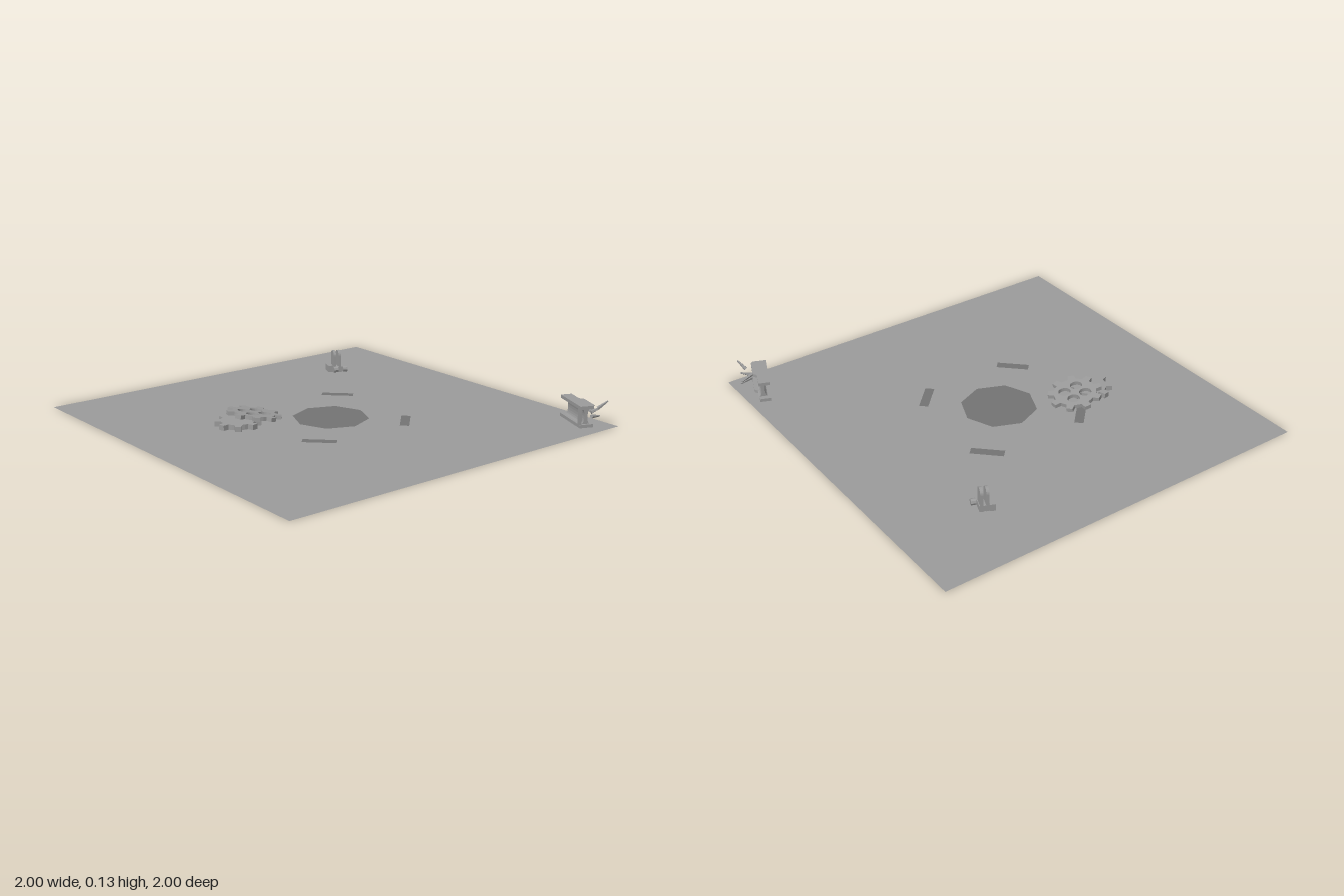
import * as THREE from 'three';

const grey = new THREE.MeshStandardMaterial({ color: 0x9b9b9b, flatShading: true });
const floorMat = new THREE.MeshStandardMaterial({ color: 0x9b9b9b, side: THREE.DoubleSide });
const darkMat = new THREE.MeshStandardMaterial({ color: 0x747474, side: THREE.DoubleSide });

function add(parent, name, geometry, pos = [0, 0, 0], rot = [0, 0, 0], material = grey) {
  const mesh = new THREE.Mesh(geometry, material);
  mesh.name = name;
  mesh.position.set(...pos);
  mesh.rotation.set(...rot);
  parent.add(mesh);
  return mesh;
}

function addGroup(parent, name, pos, yaw) {
  const g = new THREE.Group();
  g.name = name;
  g.position.set(...pos);
  g.rotation.y = yaw;
  parent.add(g);
  return g;
}

const box = (x, y, z) => new THREE.BoxGeometry(x, y, z);
const extrude = (shape, depth, curveSegments = 8) =>
  new THREE.ExtrudeGeometry(shape, { depth, bevelEnabled: false, curveSegments });

// Outline points of a rotated rectangle; plan shapes use y = -z
function rectPoints(x, z, w, h, angle = 0) {
  return [[-1, -1], [1, -1], [1, 1], [-1, 1]].map(([i, j]) =>
    new THREE.Vector2(i * w / 2, j * h / 2).rotateAround(new THREE.Vector2(), angle)
      .add(new THREE.Vector2(x, -z)));
}

// Flat gear lying in the xz plane, centred on its own thickness
function gearGeometry(teeth, outer, root, thickness, holes = []) {
  const pts = [];
  const step = (Math.PI * 2) / teeth;
  for (let i = 0; i < teeth; i++) {
    for (const [f, r] of [[-0.5, root], [-0.27, root], [-0.17, outer], [0.17, outer], [0.27, root]]) {
      const a = (i + f) * step;
      pts.push(new THREE.Vector2(Math.cos(a) * r, Math.sin(a) * r));
    }
  }
  const shape = new THREE.Shape(pts);
  for (const [x, y, r] of holes) {
    shape.holes.push(new THREE.Path().absarc(x, y, r, 0, Math.PI * 2, true));
  }
  const g = extrude(shape, thickness, 12);
  g.translate(0, 0, -thickness / 2);
  g.rotateX(-Math.PI / 2);
  return g;
}

export function createModel() {
  const model = new THREE.Group();
  model.name = 'floorWithScrap';

  // Floor sheet with dark markings let into it, flush on both faces
  const octagon = [];
  for (let i = 0; i < 8; i++) {
    const a = (i * Math.PI) / 4;
    octagon.push(new THREE.Vector2(Math.cos(a) * 0.192, Math.sin(a) * 0.192 - 0.01));
  }
  const markings = [['centreMarking', octagon]];
  for (const [x, z, angle] of [[0.28, -0.285, -0.77], [0.25, 0.285, 0.8],
    [-0.28, 0.275, -0.77], [-0.285, -0.285, 0.8]]) {
    markings.push(['barMarking', rectPoints(x, z, 0.165, 0.046, angle)]);
  }
  const floor = new THREE.Shape(rectPoints(0, 0, 2, 2));
  const flat = [-Math.PI / 2, 0, 0];
  for (const [name, points] of markings) {
    floor.holes.push(new THREE.Path(points));
    add(model, name, new THREE.ShapeGeometry(new THREE.Shape(points)), [0, 0, 0], flat, darkMat);
  }
  add(model, 'floor', new THREE.ShapeGeometry(floor), [0, 0, 0], flat, floorMat);

  // Two gears, the larger leaning on the smaller
  add(model, 'smallGear', gearGeometry(8, 0.115, 0.086, 0.026), [-0.453, 0.023, -0.145], [0, 0.2, 0]);
  const holes = [];
  for (const x of [-1, 1]) for (const y of [-1, 1]) holes.push([x * 0.037, y * 0.037, 0.031]);
  add(model, 'largeGear', gearGeometry(9, 0.137, 0.107, 0.02, holes), [-0.34, 0.039, -0.17], [0, 0, -0.15]);

  // Bracket: two round-topped cheeks on a stubby footed base
  const bracket = addGroup(model, 'bracket', [0.551, 0, -0.637], -0.38);
  const cheek = new THREE.Shape();
  cheek.moveTo(-0.028, 0.008);
  cheek.lineTo(0.028, 0.008);
  cheek.lineTo(0.028, 0.097);
  cheek.absarc(0, 0.097, 0.028, 0, Math.PI, false);
  const cheekGeo = extrude(cheek, 0.014, 6);
  cheekGeo.translate(0, 0, -0.007);
  cheekGeo.rotateY(Math.PI / 2);
  const footGeo = new THREE.CylinderGeometry(0.016, 0.016, 0.024, 8);
  for (const s of [-1, 1]) {
    add(bracket, 'cheek', cheekGeo, [s * 0.014, 0, 0]);
    add(bracket, 'foot', footGeo, [0.014 + s * 0.026, 0.024, 0.036], [0, 0, Math.PI / 2]);
  }
  add(bracket, 'base', box(0.05, 0.03, 0.06), [0, 0.023, 0.005]);
  add(bracket, 'sideBlock', box(0.026, 0.035, 0.055), [-0.036, 0.026, -0.005]);

  // Broken girder: flanges with a torn edge, a filleted web and bent shards
  const girder = addGroup(model, 'girder', [0.893, 0, 0.828], -0.39);
  const flange = new THREE.Shape([
    [-0.037, -0.112], [0.021, -0.112], [0.021, -0.03], [0.041, -0.012],
    [0.041, 0.095], [0.033, 0.108], [-0.037, 0.108],
  ].map(([x, z]) => new THREE.Vector2(x, -z)));
  const flangeGeo = extrude(flange, 0.016);
  flangeGeo.rotateX(-Math.PI / 2);
  add(girder, 'bottomFlange', flangeGeo, [0, 0.004, 0]);
  add(girder, 'topFlange', flangeGeo, [0, 0.097, 0]);
  const web = new THREE.Shape();
  web.moveTo(-0.025, 0.018);
  web.quadraticCurveTo(-0.008, 0.022, -0.008, 0.058);
  web.quadraticCurveTo(-0.008, 0.094, -0.025, 0.098);
  web.lineTo(0.025, 0.098);
  web.quadraticCurveTo(0.008, 0.094, 0.008, 0.058);
  web.quadraticCurveTo(0.008, 0.022, 0.025, 0.018);
  web.closePath();
  add(girder, 'web', extrude(web, 0.18, 5), [0, 0, -0.085]);
  add(girder, 'endPost', box(0.01, 0.08, 0.025), [-0.032, 0.058, 0.094]);

  // Shards run between two points in model space
  const shards = [
    [[0.91, 0.072, 0.895], [0.978, 0.06, 0.875]],
    [[0.91, 0.045, 0.905], [0.975, 0.035, 0.9]],
    [[0.925, 0.09, 0.93], [0.95, 0.13, 0.968]],
    [[0.91, 0.065, 0.9], [0.962, 0.085, 0.918]],
  ];
  for (const [a, b] of shards) {
    const from = new THREE.Vector3(...a);
    const dir = new THREE.Vector3(...b).sub(from);
    const shard = add(model, 'shard', new THREE.CylinderGeometry(0.004, 0.01, dir.length(), 5));
    shard.position.copy(from).addScaledVector(dir, 0.5);
    shard.quaternion.setFromUnitVectors(new THREE.Vector3(0, 1, 0), dir.normalize());
  }
  return model;
}
